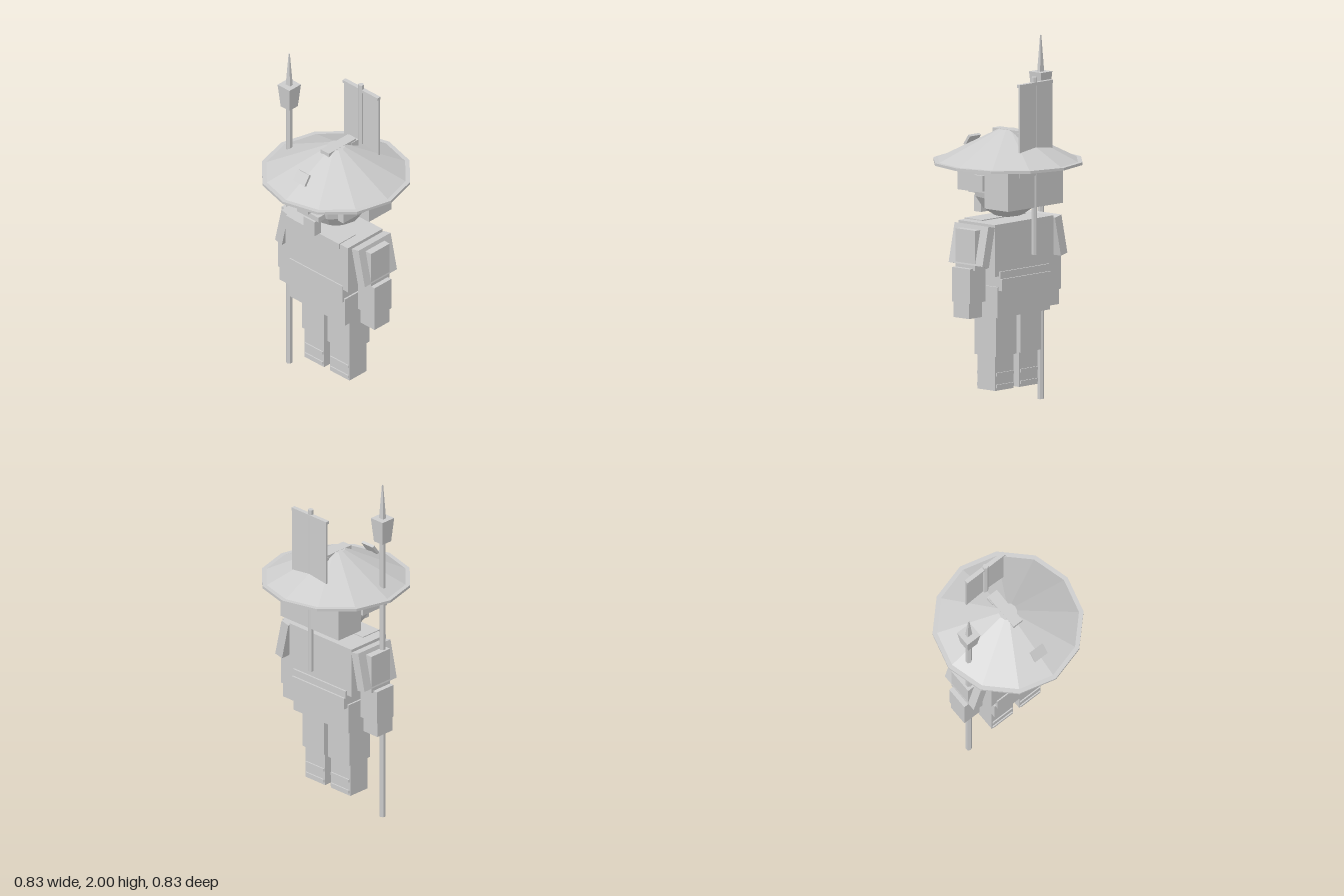
import * as THREE from 'three';

export function createModel() {
  const model = new THREE.Group();
  model.name = 'spearGuard';
  const grey = new THREE.MeshStandardMaterial({ color: 0xcccccc, flatShading: true });
  grey.name = 'plain grey';

  function add(name, geometry, x = 0, y = 0, z = 0) {
    const mesh = new THREE.Mesh(geometry, grey);
    mesh.name = name;
    mesh.position.set(x, y, z);
    model.add(mesh);
    return mesh;
  }
  // Box given by its extents on each axis
  function box(name, x0, x1, y0, y1, z0, z1) {
    return add(name, new THREE.BoxGeometry(x1 - x0, y1 - y0, z1 - z0),
      (x0 + x1) / 2, (y0 + y1) / 2, (z0 + z1) / 2);
  }
  // Upright round or tapered part given by its bottom and top heights
  function column(name, rTop, rBottom, sides, y0, y1, x = 0, z = 0) {
    return add(name, new THREE.CylinderGeometry(rTop, rBottom, y1 - y0, sides), x, (y0 + y1) / 2, z);
  }
  // Square tapered part with half widths at top and bottom
  function taper(name, top, bottom, y0, y1, x, z) {
    const g = new THREE.CylinderGeometry(top * Math.SQRT2, bottom * Math.SQRT2, y1 - y0, 4);
    g.rotateY(Math.PI / 4);
    return add(name, g, x, (y0 + y1) / 2, z);
  }

  // Straw hat with crest plate and top knot
  column('hatRim', 0.415, 0.415, 12, 1.34, 1.355);
  column('hatCone', 0.05, 0.39, 12, 1.355, 1.525);
  box('hatKnot', -0.031, 0.031, 1.49, 1.526, -0.125, 0.087);
  box('hatKnotBack', -0.035, 0.035, 1.47, 1.515, -0.14, -0.09);
  add('hatCrest', new THREE.BoxGeometry(0.087, 0.065, 0.015), 0, 1.439, 0.265).rotation.x = -0.61;

  // Head, hair and face
  add('head', new THREE.SphereGeometry(0.2, 12, 8), 0, 1.24, 0);
  box('hairBack', -0.22, 0.22, 1.115, 1.345, -0.205, -0.03);
  box('nose', -0.023, 0.023, 1.2, 1.26, 0.18, 0.24);
  box('moustache', -0.08, 0.08, 1.165, 1.195, 0.15, 0.22);
  box('beard', -0.043, 0.043, 1.055, 1.145, 0.16, 0.21);

  // Torso, collar, belt and skirt
  box('torso', -0.235, 0.235, 0.75, 1.035, -0.12, 0.15);
  box('collar', -0.175, 0.175, 1.005, 1.04, 0.03, 0.158);
  box('belt', -0.2, 0.2, 0.67, 0.775, -0.13, 0.157);
  box('beltBack', -0.2, 0.2, 0.67, 0.735, -0.14, 0);
  box('skirt', -0.21, 0.21, 0.52, 0.69, -0.115, 0.145);

  // Paired parts
  for (const s of [-1, 1]) {
    const side = s > 0 ? 'left' : 'right';
    const pair = (name, x0, x1, ...rest) =>
      box(side + name, Math.min(s * x0, s * x1), Math.max(s * x0, s * x1), ...rest);
    pair('HairSide', 0.18, 0.22, 1.2, 1.345, -0.1, 0.17);
    pair('Ear', 0.2, 0.235, 1.21, 1.295, -0.03, 0.035);
    pair('Eye', 0.06, 0.095, 1.265, 1.315, 0.16, 0.206);
    pair('Brow', 0.042, 0.11, 1.325, 1.345, 0.14, 0.21);
    pair('UpperArm', 0.24, 0.338, 0.79, 1.01, -0.07, 0.075);
    add(side + 'ShoulderPad', new THREE.BoxGeometry(0.053, 0.22, 0.25), s * 0.29, 0.92, 0)
      .rotation.z = s * 0.22;
    pair('Forearm', 0.24, 0.365, 0.61, 0.8, -0.055, 0.075);
    pair('Hand', 0.255, 0.36, 0.525, 0.61, -0.045, 0.07);
    pair('Thigh', 0.015, 0.18, 0.3, 0.53, -0.077, 0.08);
    pair('Shin', 0.022, 0.17, 0.11, 0.3, -0.062, 0.07);
    for (const y of [0.125, 0.19])
      pair('LegStrap', 0.028, 0.164, y, y + 0.018, -0.07, 0.077);
  }

  // Back banner
  column('bannerPole', 0.016, 0.016, 6, 0.855, 1.83, 0, -0.195);
  box('bannerCloth', -0.13, 0.13, 1.29, 1.79, -0.209, -0.198);
  box('bannerBar', -0.132, 0.132, 1.785, 1.802, -0.211, -0.187);

  // Spear
  column('spearShaft', 0.018, 0.018, 6, 0, 1.67, -0.31, 0.045);
  taper('spearSocket', 0.045, 0.033, 1.66, 1.8, -0.31, 0.045);
  taper('spearBlade', 0.003, 0.016, 1.8, 2, -0.31, 0.045).scale.z = 0.7;

  return model;
}
